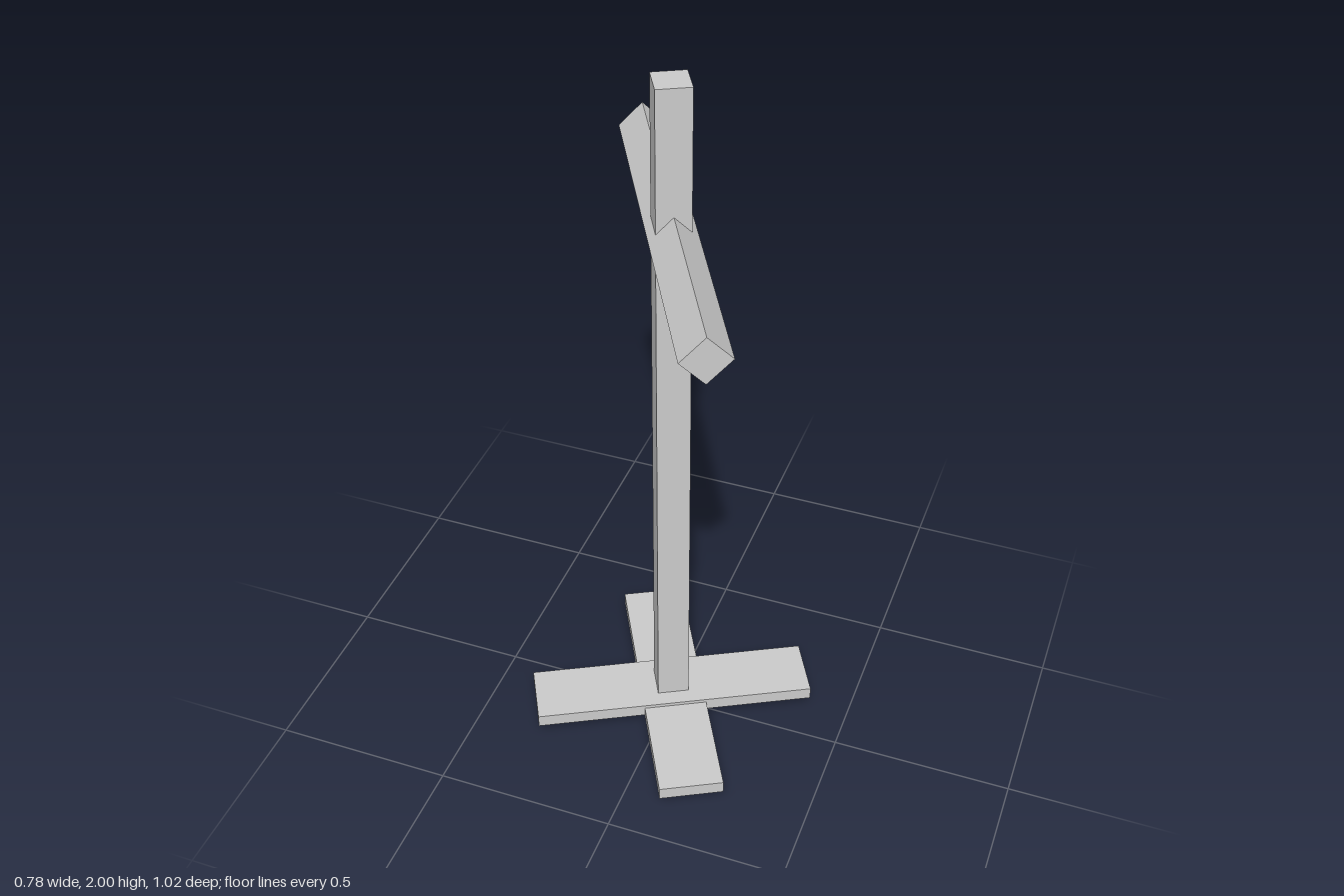
import * as THREE from 'three';

export function createModel() {
  const model = new THREE.Group();
  model.name = 'standingCross';
  const material = new THREE.MeshStandardMaterial({ color: 0xcccccc, flatShading: true });

  const beam = (name, w, h, d, y) => {
    const mesh = new THREE.Mesh(new THREE.BoxGeometry(w, h, d), material);
    mesh.name = name;
    mesh.position.y = y;
    model.add(mesh);
    return mesh;
  };

  const side = 0.0885; // square section shared by post and arm

  // upright post, reaching just below the base boards
  beam('post', side, 2, side, 1);

  // crossbar, set on edge so its section is a diamond
  beam('crossbar', side, side, 1.085, 1.602).rotation.z = Math.PI / 4;

  // two overlapping base boards
  beam('upperBaseBoard', 0.79, 0.037, 0.178, 0.056);
  beam('lowerBaseBoard', 0.178, 0.037, 0.79, 0.046);

  // the whole piece stands turned about its post
  model.rotation.y = THREE.MathUtils.degToRad(28.2);
  const root = new THREE.Group();
  root.name = 'crossOnStand';
  root.add(model);
  return root;
}
